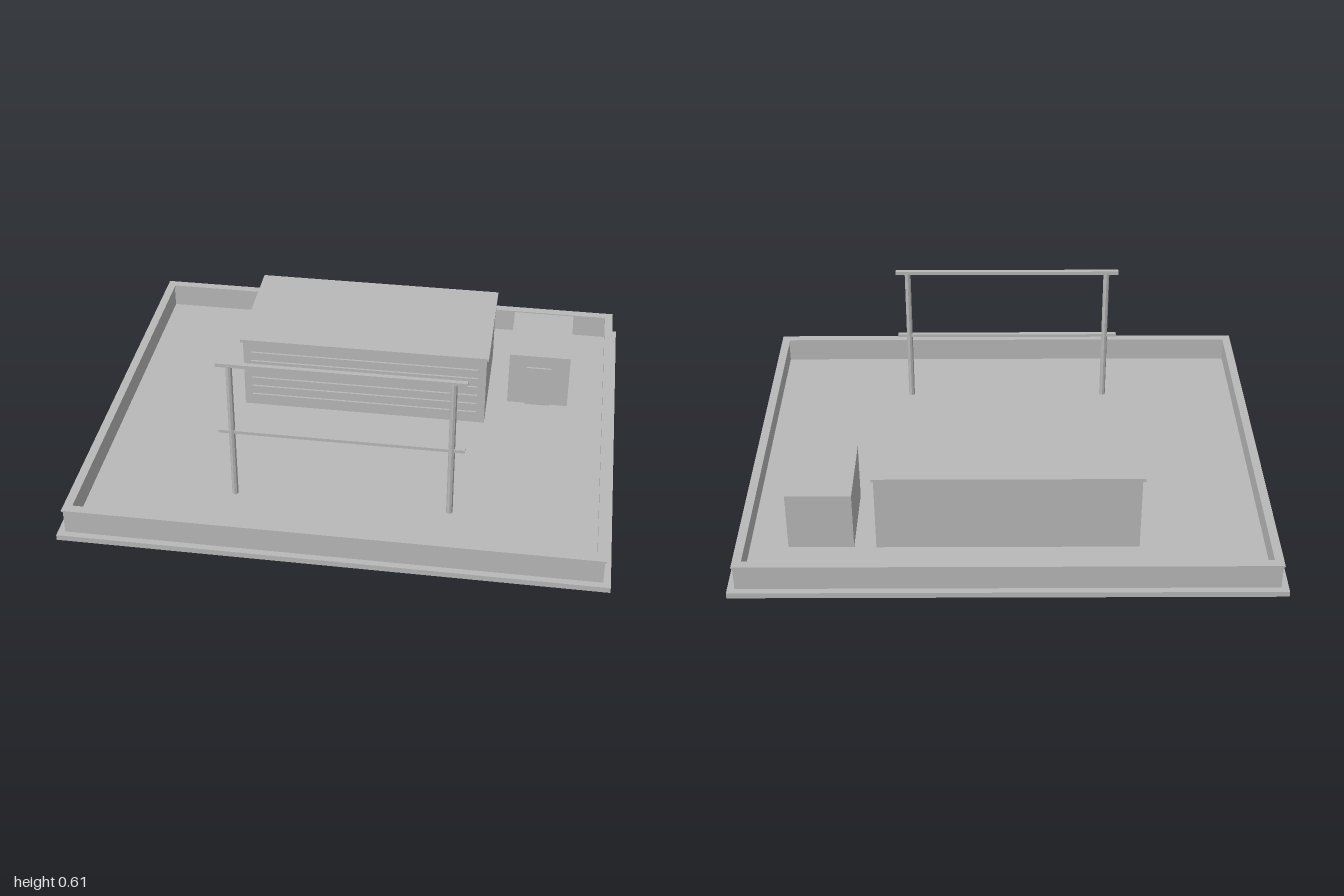
import * as THREE from 'three';

export function createModel() {
  const model = new THREE.Group();
  const grey = new THREE.MeshStandardMaterial({ color: 0xb8b8b8, flatShading: true });
  grey.name = 'concreteGrey';
  const FLOOR = 0.022;

  const add = (name, geometry, parent = model) => {
    const mesh = new THREE.Mesh(geometry, grey);
    mesh.name = name;
    parent.add(mesh);
    return mesh;
  };
  // Box given by its limits along each axis
  const box = (name, [x0, x1], [y0, y1], [z0, z1], parent) => {
    const mesh = add(name, new THREE.BoxGeometry(x1 - x0, y1 - y0, z1 - z0), parent);
    mesh.position.set((x0 + x1) / 2, (y0 + y1) / 2, (z0 + z1) / 2);
    return mesh;
  };
  const rectangle = (PathType, hx, hz) => new PathType([
    [-hx, -hz], [hx, -hz], [hx, hz], [-hx, hz],
  ].map(([x, y]) => new THREE.Vector2(x, y)));
  // Upright rectangular ring
  const ring = (name, outer, inner, y0, y1) => {
    const shape = rectangle(THREE.Shape, ...outer);
    shape.holes.push(rectangle(THREE.Path, ...inner));
    const geometry = new THREE.ExtrudeGeometry(shape, { depth: y1 - y0, bevelEnabled: false });
    geometry.rotateX(-Math.PI / 2);
    add(name, geometry).position.y = y0;
  };

  // Ground slab and the low wall around the yard
  box('groundSlab', [-1, 1], [0, FLOOR], [-0.835, 0.835]);
  ring('perimeterWall', [0.973, 0.81], [0.95, 0.785], FLOOR, 0.116);
  ring('wallCap', [0.978, 0.815], [0.945, 0.78], 0.116, 0.122);

  // Main building with overhanging roof and slatted front
  const building = new THREE.Group();
  building.name = 'mainBuilding';
  model.add(building);
  box('buildingBody', [-0.486, 0.484], [FLOOR, 0.32], [-0.57, -0.081], building);
  box('buildingRoof', [-0.496, 0.492], [0.32, 0.332], [-0.579, -0.073], building);
  for (let i = 0; i < 6; i++) {
    const y = 0.07 + i * 0.04;
    box('frontSlat', [-0.455, 0.452], [y - 0.005, y + 0.005], [-0.082, -0.073], building);
  }

  // Small hut with a door
  const hut = new THREE.Group();
  hut.name = 'hut';
  model.add(hut);
  box('hutBody', [0.566, 0.808], [FLOOR, 0.25], [-0.567, -0.243], hut);
  box('hutDoor', [0.638, 0.736], [FLOOR, 0.198], [-0.244, -0.235], hut);

  // Gate frame: two round posts and two rails
  const frame = new THREE.Group();
  frame.name = 'gateFrame';
  model.add(frame);
  for (const side of [-1, 1]) {
    const post = add('framePost', new THREE.CylinderGeometry(0.012, 0.012, 0.6 - FLOOR, 8), frame);
    post.position.set(side * 0.404 - 0.002, (0.6 + FLOOR) / 2, 0.498);
  }
  for (const [name, y, half] of [['topRail', 0.601, 0.007], ['middleRail', 0.31, 0.006]]) {
    box(name, [-0.454, 0.45], [y - half, y + half], [0.489, 0.507], frame);
  }
  return model;
}
